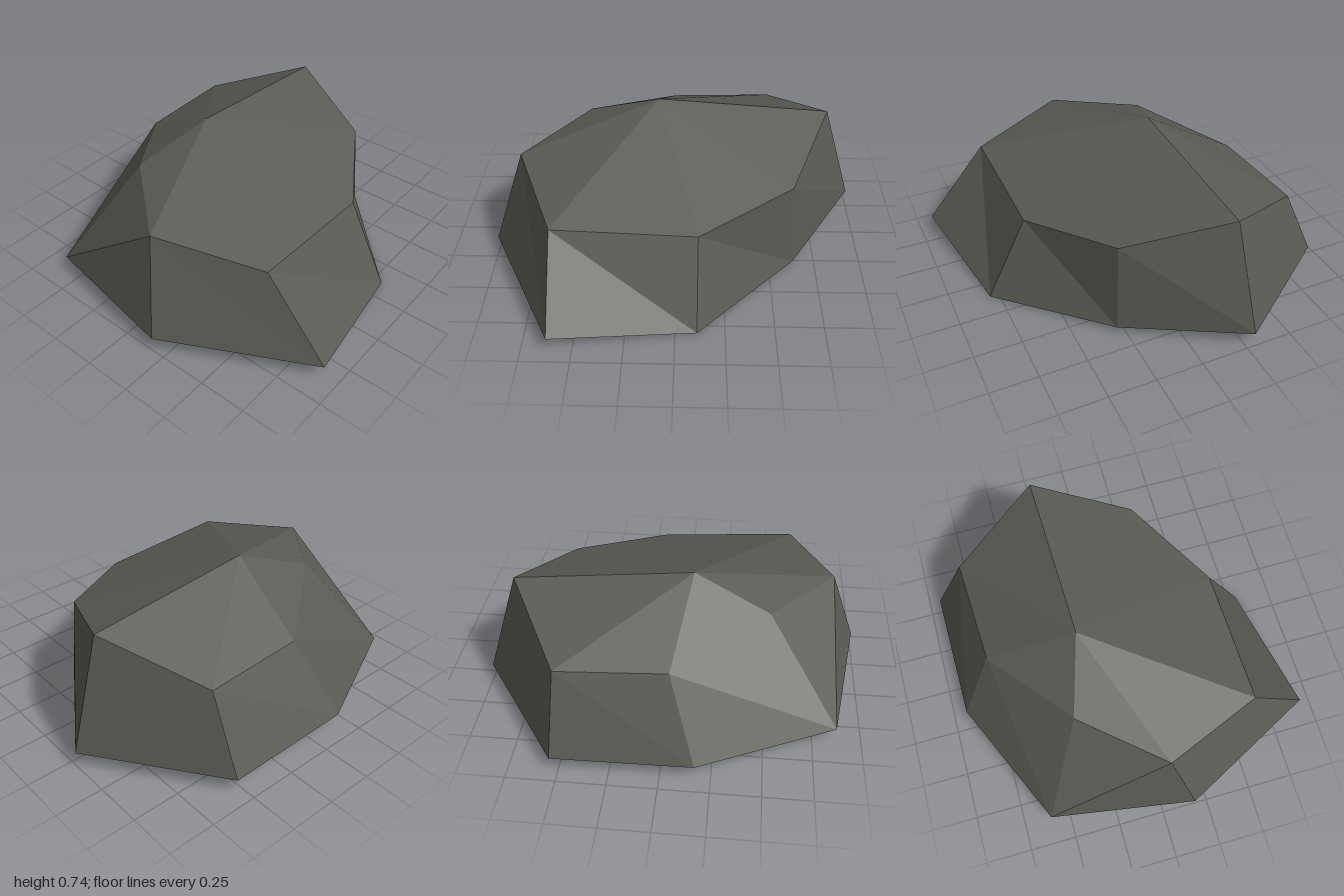
import * as THREE from 'three';

export function createModel() {
  const group = new THREE.Group();
  group.name = 'rock';
  const stone = new THREE.MeshStandardMaterial({ color: 0x5a5a54, flatShading: true, side: THREE.DoubleSide });
  stone.name = 'dark stone';

  // Rings run from the front left corner, counterclockwise seen from above
  const foot = [
    [-0.62, 0.08, 0.93], [0.11, 0, 0.80], [0.63, 0.03, 0.29], [1.0, 0.08, -0.29],
    [0.54, 0.08, -0.93], [-0.17, 0.08, -0.92], [-0.87, 0.08, -0.60], [-1.0, 0.08, 0.18],
  ];
  const shoulder = [
    [-0.62, 0.48, 0.59], [0.11, 0.44, 0.58], [0.60, 0.51, 0.27], [0.82, 0.66, -0.25],
    [0.53, 0.48, -0.74], [-0.03, 0.485, -0.71], [-0.50, 0.60, -0.35], [-0.84, 0.56, 0.06],
  ];
  const peak = [-0.11, 0.74, -0.23];

  const addPart = (name, triangles) => {
    const geometry = new THREE.BufferGeometry();
    geometry.setAttribute('position', new THREE.Float32BufferAttribute(triangles.flat(2), 3));
    geometry.computeVertexNormals();
    const mesh = new THREE.Mesh(geometry, stone);
    mesh.name = name;
    group.add(mesh);
  };

  const sides = [];
  const cap = [];
  for (let i = 0; i < foot.length; i++) {
    const j = (i + 1) % foot.length;
    const [a, b, c, d] = [foot[i], foot[j], shoulder[j], shoulder[i]];
    // The back right facet folds along the other diagonal
    if (i === 6) sides.push([a, b, c], [a, c, d]);
    else sides.push([a, b, d], [b, c, d]);
    cap.push([peak, d, c]);
  }
  addPart('rockSides', sides); // open underneath
  addPart('rockTop', cap);

  return group;
}
